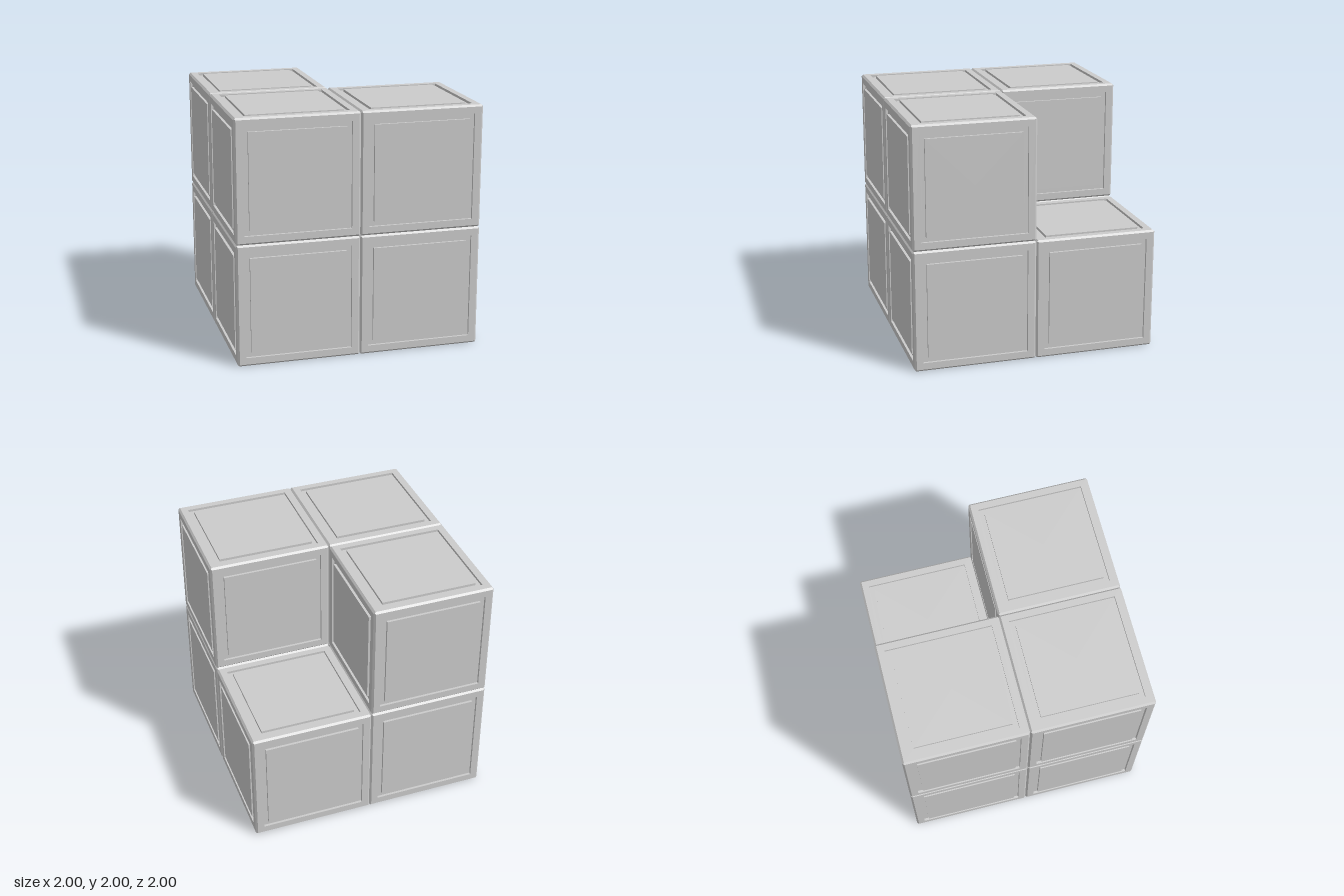
import * as THREE from 'three';
import { mergeGeometries } from 'three/addons/utils/BufferGeometryUtils.js';

const HALF = 0.5;      // half the edge of one cube
const CHAMFER = 0.015; // bevel along the cube edges
const DEPTH = 0.02;    // depth of the groove around each panel

// One cube face pointing +y: half chamfer, frame, square groove, raised panel.
function faceGeometry() {
  const mid = HALF - CHAMFER / 2;
  const profile = [
    [mid, mid],
    [HALF - CHAMFER, HALF],
    [0.43, HALF],
    [0.43, HALF - DEPTH],
    [0.39, HALF - DEPTH],
    [0.39, HALF],
    [0, HALF],
  ].map(([r, y]) => new THREE.Vector2(r * Math.SQRT2, y));
  // A four-sided lathe turned by 45 degrees gives concentric squares
  const geometry = new THREE.LatheGeometry(profile, 4, Math.PI / 4).toNonIndexed();
  geometry.computeVertexNormals();
  return geometry;
}

// Six faces meeting along the middle of the chamfers
function cubeGeometry() {
  const face = faceGeometry();
  const faces = [face.clone(), face.clone().rotateX(Math.PI)];
  for (let i = 0; i < 4; i++) {
    faces.push(face.clone().rotateX(Math.PI / 2).rotateY((i * Math.PI) / 2));
  }
  return mergeGeometries(faces);
}

export function createModel() {
  const group = new THREE.Group();
  group.name = 'cubeStack';
  const material = new THREE.MeshStandardMaterial({ color: 0xcccccc, flatShading: true });
  const geometry = cubeGeometry();

  // 2 x 2 x 2 stack with the upper back cube on the +x side left out
  for (const y of [0.5, 1.5]) {
    for (const x of [-0.5, 0.5]) {
      for (const z of [-0.5, 0.5]) {
        if (y > 1 && x > 0 && z < 0) continue;
        const cube = new THREE.Mesh(geometry, material);
        cube.name = `${y > 1 ? 'upper' : 'lower'}${z > 0 ? 'Front' : 'Back'}${x > 0 ? 'Left' : 'Right'}Cube`;
        cube.position.set(x, y, z);
        group.add(cube);
      }
    }
  }
  return group;
}
